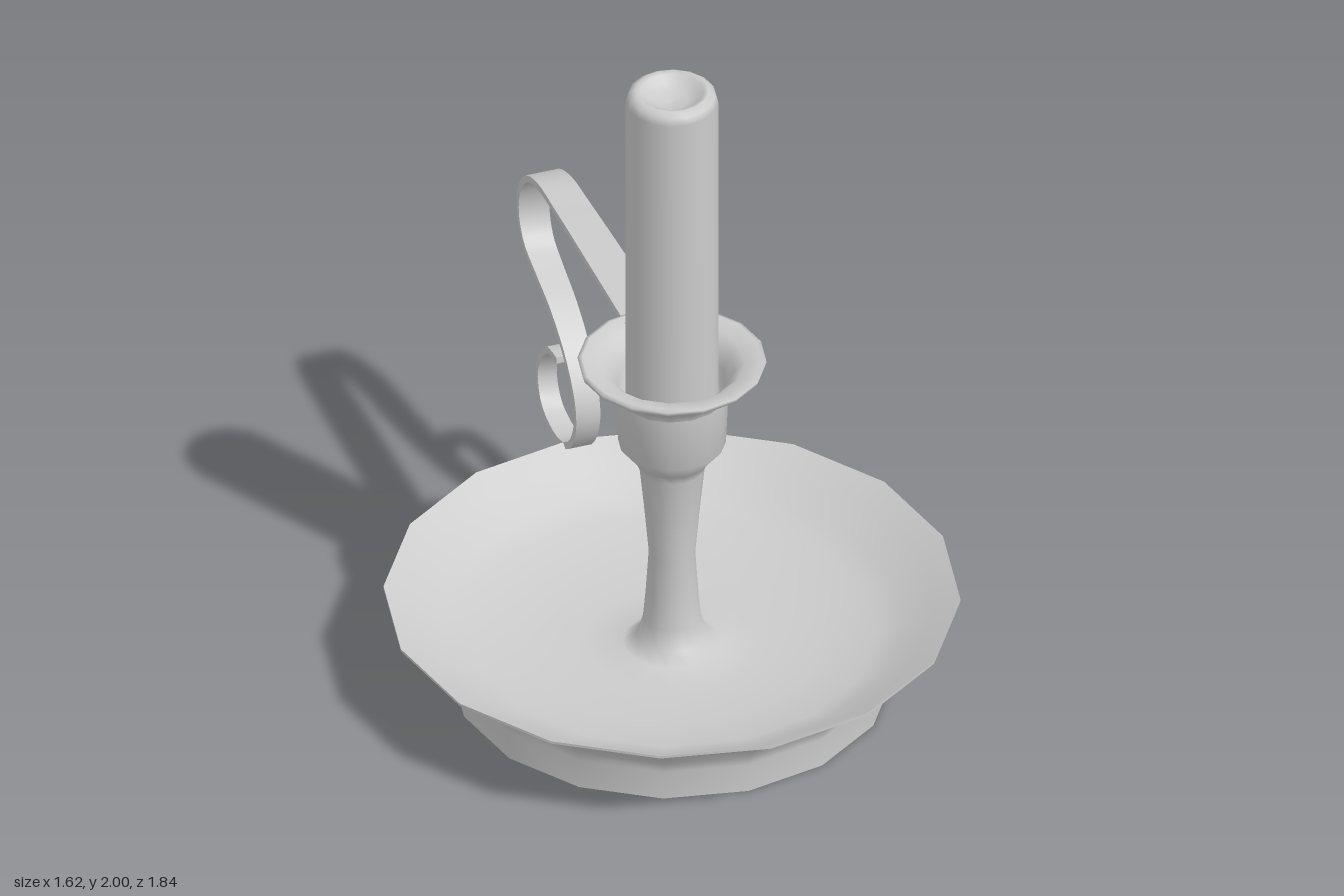
import * as THREE from 'three';
import { toCreasedNormals } from 'three/addons/utils/BufferGeometryUtils.js';

const CENTRE_Z = 0.11;   // the dish sits forward to balance the handle
const SIDES = 16;

const material = new THREE.MeshStandardMaterial({ color: 0xcccccc, side: THREE.DoubleSide });

function addMesh(parent, name, geometry) {
  const mesh = new THREE.Mesh(geometry, material);
  mesh.name = name;
  parent.add(mesh);
  return mesh;
}

// Turned part from [radius, height] pairs
function turned(profile) {
  const points = profile.map(([r, y]) => new THREE.Vector2(r, y));
  return new THREE.LatheGeometry(points, SIDES, 0.135);
}

// Flat strip bent along a curve in the (outward, up) plane, narrowing to its end
function bentStrip(points, thickness, startWidth, endWidth, segments) {
  const curve = new THREE.CatmullRomCurve3(points.map(([s, y]) => new THREE.Vector3(s, y, 0)));
  const geometry = new THREE.BoxGeometry(1, thickness, 1, segments, 1, 1);
  const pos = geometry.attributes.position;
  for (let i = 0; i < pos.count; i++) {
    const u = THREE.MathUtils.clamp(pos.getX(i) + 0.5, 0, 1);
    const p = curve.getPointAt(u);
    const t = curve.getTangentAt(u);
    const offset = pos.getY(i);
    const width = THREE.MathUtils.lerp(startWidth, endWidth, u);
    pos.setXYZ(i, p.x - t.y * offset, p.y + t.x * offset, pos.getZ(i) * width);
  }
  return toCreasedNormals(geometry, 0.8);
}

export function createModel() {
  const model = new THREE.Group();
  model.name = 'chamberstick';

  const body = new THREE.Group();
  body.name = 'body';
  body.position.z = CENTRE_Z;
  model.add(body);

  // Open foot ring flaring out to the underside of the rim
  addMesh(body, 'footRing', turned([
    [0.627, 0], [0.627, 0.09], [0.637, 0.125], [0.67, 0.17], [0.74, 0.22], [0.817, 0.268],
  ]));
  // Thin lip
  addMesh(body, 'rim', turned([[0.817, 0.268], [0.817, 0.276]]));

  // Shallow bowl running up into the stem, hollow beneath
  addMesh(body, 'bowlAndStem', turned([
    [0.817, 0.276], [0.74, 0.23], [0.66, 0.18], [0.58, 0.145], [0.42, 0.115], [0.25, 0.105],
    [0.14, 0.112], [0.1, 0.14], [0.082, 0.2], [0.075, 0.28], [0.066, 0.42],
    [0.08, 0.58], [0.093, 0.71], [0.105, 0.74], [0.153, 0.8], [0.16, 0.97],
  ]));

  // Drip collar and socket
  addMesh(body, 'dripCollar', turned([
    [0.16, 0.97], [0.167, 0.99], [0.195, 1.02], [0.264, 1.062], [0.268, 1.076], [0.255, 1.08],
    [0.205, 1.067], [0.175, 1.04], [0.155, 1.0], [0.145, 0.95], [0.12, 0.93], [0, 0.93],
  ]));

  // Candle with a rounded shoulder and hollowed top
  addMesh(body, 'candle', turned([
    [0.131, 0.93], [0.131, 1.0], [0.131, 1.965], [0.124, 1.988], [0.105, 2.0],
    [0.09, 1.996], [0.075, 1.98], [0.045, 1.965], [0, 1.96],
  ]));

  // Scrolled strap handle, pointing back and to the model's right
  const handle = addMesh(body, 'handle', bentStrip([
    [0.18, 1.066], [0.5, 1.064], [0.82, 1.06], [0.98, 1.052], [1.08, 1.01], [1.14, 0.93],
    [1.152, 0.84], [1.11, 0.765], [1.03, 0.725], [0.9, 0.67], [0.78, 0.58], [0.71, 0.47],
    [0.708, 0.39], [0.76, 0.3], [0.84, 0.255], [0.93, 0.25], [1.01, 0.28], [1.045, 0.36],
    [1.015, 0.44], [0.96, 0.495], [0.89, 0.503],
  ], 0.02, 0.125, 0.05, 72));
  handle.rotation.y = THREE.MathUtils.degToRad(120);

  return model;
}
